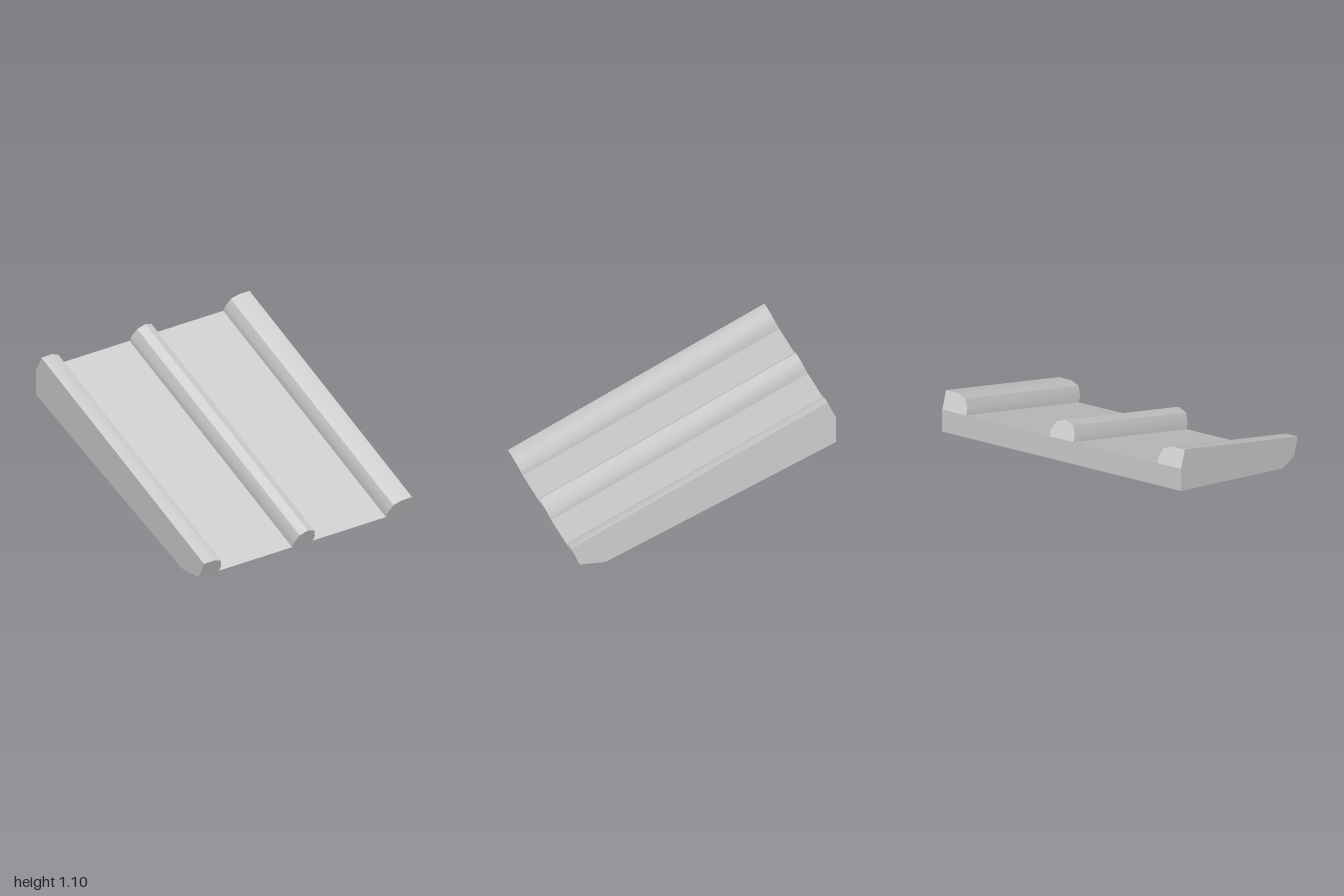
import * as THREE from 'three';
import { toCreasedNormals } from 'three/addons/utils/BufferGeometryUtils.js';

const TOP = new THREE.Vector2(-1, 0.97);   // upper end of the ramp surface
const FOOT = new THREE.Vector2(0.935, 0);  // lower end of the ramp surface
const HALF = 0.967;                        // half the ramp width
const RAIL = 0.146;                        // rail height above the surface

const material = new THREE.MeshStandardMaterial({ color: 0xcccccc });

function extrude(points, depth) {
  const shape = new THREE.Shape(points.map(([x, y]) => new THREE.Vector2(x, y)));
  return new THREE.ExtrudeGeometry(shape, { depth, bevelEnabled: false });
}

function addMesh(group, name, geometry) {
  const mesh = new THREE.Mesh(toCreasedNormals(geometry, 0.5), material);
  mesh.name = name;
  group.add(mesh);
}

// Rounded shoulder of a rail: [distance from its centre, height]
const shoulder = [[0, RAIL], [0.068, 0.82 * RAIL], [0.096, 0.35 * RAIL], [0.096, 0]];

// Extrudes a rail section (across, height) down the slope
function railGeometry(section) {
  const slope = FOOT.clone().sub(TOP);
  return extrude(section, slope.length())
    .rotateY(Math.PI / 2)
    .rotateZ(slope.angle())
    .translate(TOP.x, TOP.y, 0);
}

export function createModel() {
  const group = new THREE.Group();
  group.name = 'ramp';

  // Sloping slab, thinning towards the foot
  const slab = extrude([[-1, 0.78], [0.74, 0], FOOT.toArray(), TOP.toArray()], 2 * HALF);
  addMesh(group, 'slab', slab.translate(0, 0, -HALF));

  // Centre rail with a ridge
  const mirrored = shoulder.slice(1).reverse().map(([a, h]) => [-a, h]);
  addMesh(group, 'centreRail', railGeometry([...mirrored, ...shoulder]));

  // Side rails, flat on top and flush with the slab's sides
  for (const [name, side] of [['frontRail', -1], ['backRail', 1]]) {
    const inner = shoulder.map(([a, h]) => [side * (0.871 - a), h]);
    addMesh(group, name, railGeometry([[side * HALF, 0], [side * HALF, RAIL], ...inner]));
  }
  return group;
}
